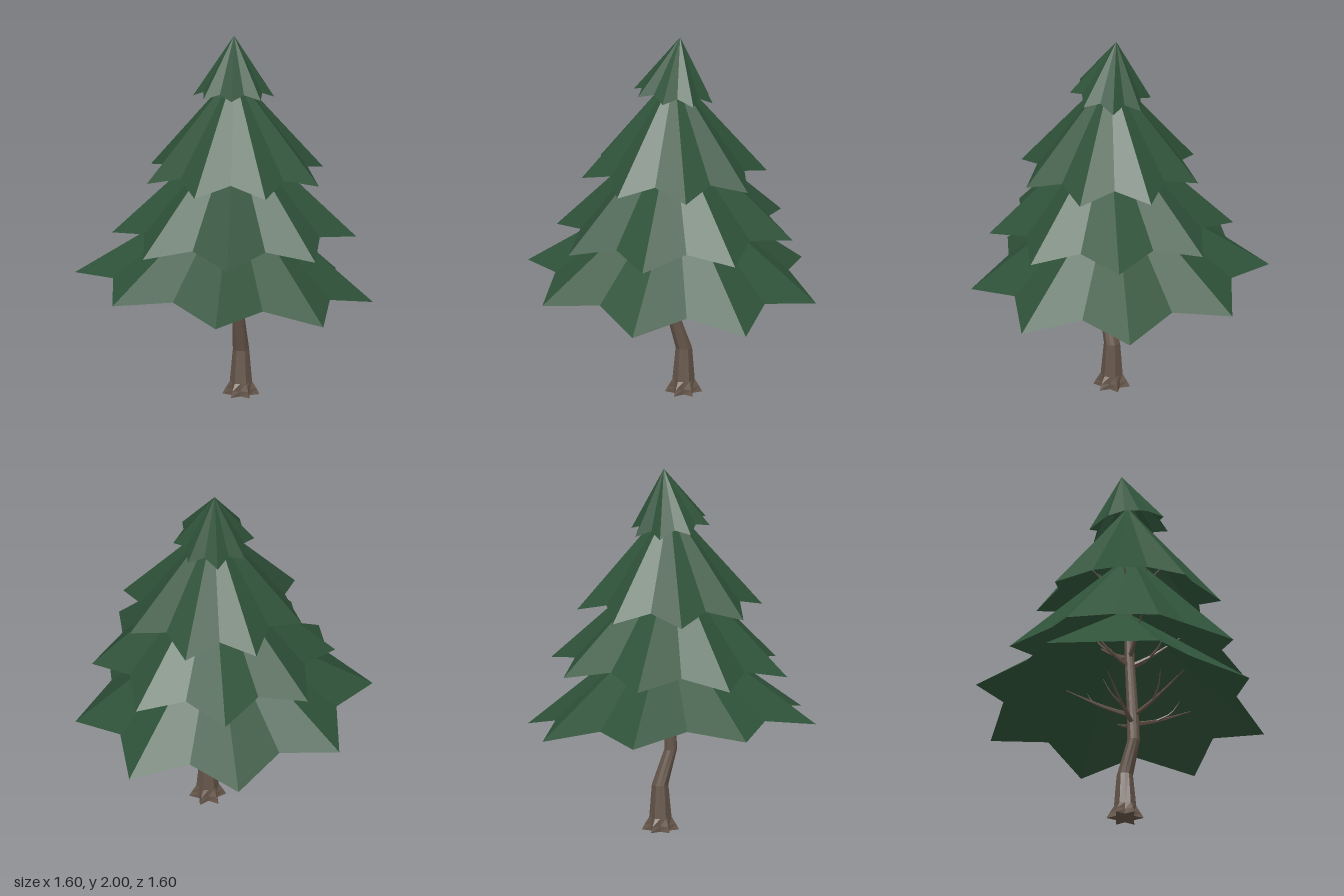
import * as THREE from 'three';

const V = (x, y, z) => new THREE.Vector3(x, y, z);

function facets(points) {
  const g = new THREE.BufferGeometry().setFromPoints(points);
  g.computeVertexNormals();
  return g;
}

// Open eight-pointed star cone; the rim lies on a tilted plane, valleys sit higher and further in
function starCone({ centre, apex, tip, valley, lift, tilt, turn }) {
  const rim = [];
  for (let i = 0; i < 16; i++) {
    const a = turn + (i * Math.PI) / 8, r = i % 2 ? valley : tip;
    const dx = r * Math.cos(a), dz = r * Math.sin(a);
    rim.push(V(centre[0] + dx, centre[1] + tilt[0] * dx + tilt[1] * dz + (i % 2 ? lift : 0), centre[2] + dz));
  }
  const top = V(...apex), pts = [];
  rim.forEach((p, i) => pts.push(top, rim[(i + 1) % 16], p));
  return facets(pts);
}

// Skin over horizontal rings [x, y, z, radius, root spread]
function trunkGeometry(rings, sides) {
  const loops = rings.map(([x, y, z, r, spread]) => Array.from({ length: sides }, (_, i) => {
    const a = (i * 2 * Math.PI) / sides, rr = i % 2 ? r : r + spread;
    return V(x + rr * Math.cos(a), y, z + rr * Math.sin(a));
  }));
  const pts = [], base = V(...rings[0].slice(0, 3));
  for (let i = 0; i < sides; i++) {
    const j = (i + 1) % sides;
    pts.push(base, loops[0][i], loops[0][j]);
    for (let k = 0; k + 1 < loops.length; k++) {
      const a = loops[k][i], b = loops[k][j], c = loops[k + 1][j], d = loops[k + 1][i];
      pts.push(a, d, b, b, d, c);
    }
  }
  return facets(pts);
}

// Bent twig that narrows towards its end
function twigGeometry(points, radius) {
  const curve = new THREE.CatmullRomCurve3(points), steps = 5, sides = 5;
  const g = new THREE.TubeGeometry(curve, steps, radius, sides, false);
  const pos = g.attributes.position, p = V(0, 0, 0);
  for (let i = 0; i < pos.count; i++) {
    const t = Math.floor(i / (sides + 1)) / steps;
    const c = curve.getPointAt(t);
    p.fromBufferAttribute(pos, i).sub(c).multiplyScalar(1 - 0.85 * t).add(c);
    pos.setXYZ(i, p.x, p.y, p.z);
  }
  return g;
}

export function createModel() {
  const model = new THREE.Group();
  const needles = new THREE.MeshStandardMaterial({ color: 0x2f5239, flatShading: true, side: THREE.DoubleSide });
  needles.name = 'needle green';
  const bark = new THREE.MeshStandardMaterial({ color: 0x66564a, flatShading: true });
  bark.name = 'bark brown';
  const add = (name, geometry, material) => {
    const mesh = new THREE.Mesh(geometry, material);
    mesh.name = name;
    model.add(mesh);
  };

  // Foliage tiers, bottom to top
  const tiers = [
    { centre: [0, 0.6, 0], apex: [0.045, 1.2, 0], tip: 0.8, valley: 0.63, lift: 0.06, tilt: [-0.0875, 0], turn: 0 },
    { centre: [0.055, 0.9, 0.015], apex: [0.055, 1.53, 0.03], tip: 0.655, valley: 0.51, lift: 0.055, tilt: [0, -0.03], turn: 0 },
    { centre: [0.06, 1.232, 0.02], apex: [0.055, 1.81, 0.015], tip: 0.5, valley: 0.39, lift: 0.055, tilt: [0, 0], turn: Math.PI / 8 },
    { centre: [0.053, 1.675, 0.022], apex: [0.053, 2, -0.02], tip: 0.218, valley: 0.17, lift: 0.03, tilt: [0, 0.14], turn: 0 },
  ];
  tiers.forEach((t, i) => add('foliageTier' + (i + 1), starCone(t), needles));

  // Crooked trunk with a flared root foot
  add('trunk', trunkGeometry([
    [0.09, 0, -0.02, 0.055, 0.045],
    [0.09, 0.03, -0.02, 0.054, 0.03],
    [0.09, 0.07, -0.02, 0.052, 0.008],
    [0.09, 0.25, -0.022, 0.04, 0.004],
    [0.08, 0.44, 0.038, 0.034, 0],
    [0.08, 0.58, 0.034, 0.032, 0],
    [0.07, 0.9, 0.02, 0.027, 0],
    [0.058, 1.3, 0.015, 0.019, 0],
    [0.055, 1.78, 0.01, 0.005, 0],
  ], 12), bark);

  // Whorls of bare branches inside the foliage: [height, reach, trunk x, trunk z, turn]
  [[0.54, 0.36, 0.08, 0.035, 0.5], [0.88, 0.27, 0.07, 0.02, 1.1], [1.22, 0.2, 0.06, 0.015, 0.2]].forEach(([y, reach, x, z, turn], w) => {
    for (let i = 0; i < 5; i++) {
      const a = turn + (i * 2 * Math.PI) / 5, c = Math.cos(a), s = Math.sin(a);
      const y0 = y + (i % 2) * 0.05;
      const at = (r, h, side = 0) => V(x + r * c - side * s, y0 + h, z + r * s + side * c);
      add(`branch${w + 1}_${i + 1}`, twigGeometry([at(0.01, 0), at(reach * 0.4, 0.05), at(reach, 0.16)], 0.014), bark);
      add(`twig${w + 1}_${i + 1}`, twigGeometry([at(reach * 0.4, 0.05), at(reach * 0.6, 0.1, 0.04), at(reach * 0.7, 0.17, 0.07)], 0.008), bark);
    }
  });
  return model;
}
